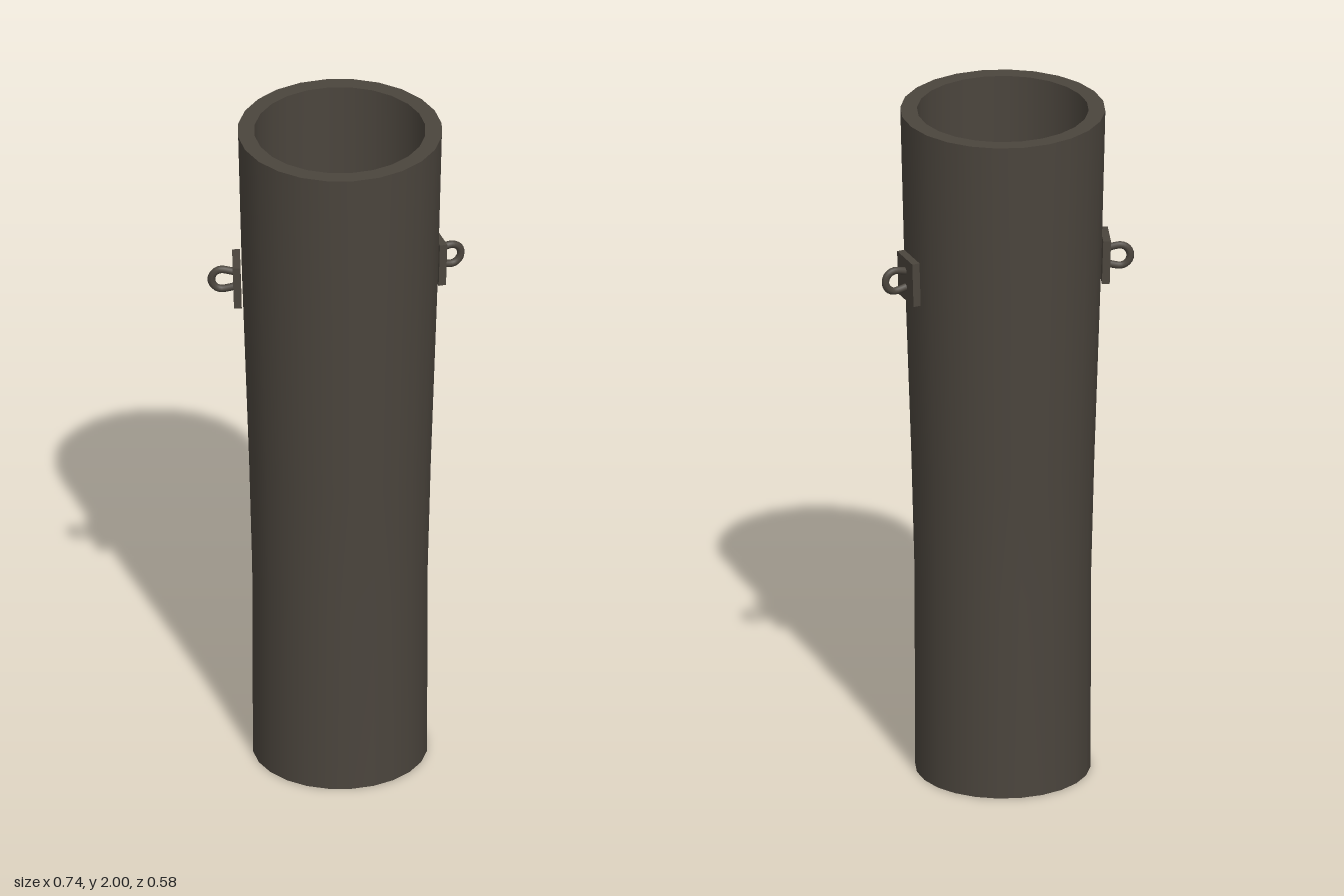
import * as THREE from 'three';

const SIDES = 24;

export function createModel() {
  const model = new THREE.Group();
  model.name = 'barrel';
  const metal = new THREE.MeshStandardMaterial({ color: 0x4b453d, side: THREE.DoubleSide });
  metal.name = 'dark gunmetal';

  const add = (parent, name, geometry) => {
    const mesh = new THREE.Mesh(geometry, metal);
    mesh.name = name;
    parent.add(mesh);
    return mesh;
  };
  const lathe = (name, profile) => {
    const points = profile.map(([r, y]) => new THREE.Vector2(r, y));
    add(model, name, new THREE.LatheGeometry(points, SIDES)).position.x = 0.004;
  };

  // Tapered tube: straight foot, then gently flaring to the muzzle
  lathe('outerWall', [[0.247, 0], [0.249, 0.6], [0.258, 0.95], [0.278, 1.55], [0.289, 2]]);
  lathe('muzzleRim', [[0.289, 2], [0.242, 2]]);

  // Bore with a rounded floor
  const bore = [[0.242, 2]];
  for (let i = 0; i <= 8; i++) {
    const a = (i / 8) * Math.PI / 2;
    bore.push([0.242 * Math.cos(a), 0.56 - 0.2 * Math.sin(a)]);
  }
  lathe('bore', bore);

  // U-shaped eye whose ends are sunk in the mounting plate
  const eyePoints = [new THREE.Vector3(0, 0.022, 0)];
  for (let i = 0; i <= 8; i++) {
    const a = Math.PI / 2 - (i / 8) * Math.PI;
    eyePoints.push(new THREE.Vector3(0.042 + 0.03 * Math.cos(a), 0.031 * Math.sin(a), 0));
  }
  eyePoints.push(new THREE.Vector3(0, -0.022, 0));
  const eyeGeometry = new THREE.TubeGeometry(new THREE.CatmullRomCurve3(eyePoints), 24, 0.011, 8);
  const plateGeometry = new THREE.BoxGeometry(0.022, 0.13, 0.108);

  // Sling lugs, one on each side
  const lugs = [
    ['leftLug', 0.287, -0.062, 0.2],
    ['rightLug', -0.287, -0.011, Math.PI - 0.12],
  ];
  for (const [name, x, z, turn] of lugs) {
    const lug = new THREE.Group();
    lug.name = name;
    lug.position.set(x, 1.533, z);
    lug.rotation.y = turn;
    add(lug, 'lugPlate', plateGeometry).rotation.z = -0.03;
    add(lug, 'lugEye', eyeGeometry);
    model.add(lug);
  }
  return model;
}
